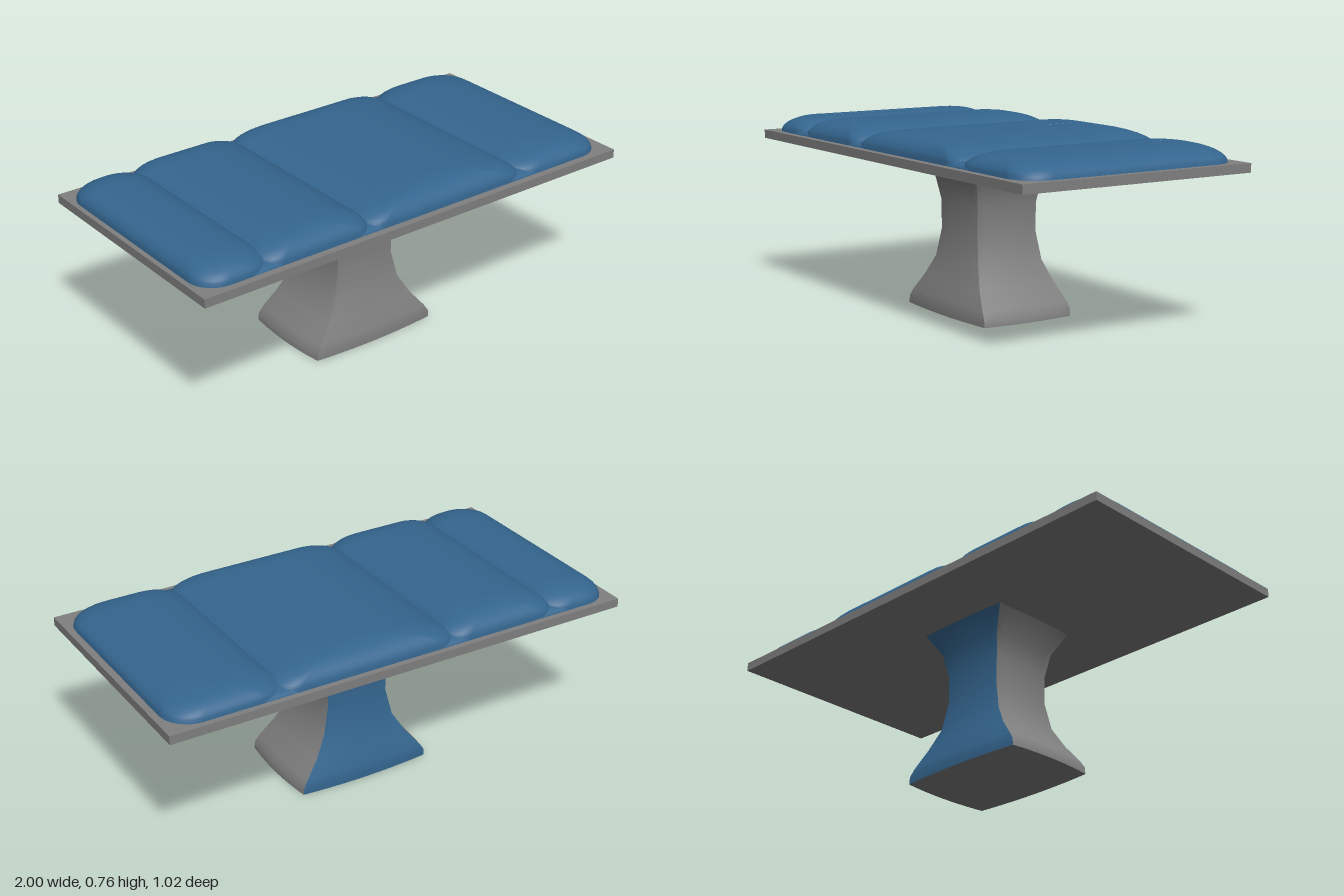
import * as THREE from 'three';

const grey = new THREE.MeshStandardMaterial({ color: 0x808080 });
grey.name = 'grey';
const blue = new THREE.MeshStandardMaterial({ color: 0x34658e });
blue.name = 'blue';

function add(group, name, geometry, material) {
  const mesh = new THREE.Mesh(geometry, material);
  mesh.name = name;
  group.add(mesh);
  return mesh;
}

// Skin a list of equally long point rows; closed joins each row's end to its start.
function loft(rows, closed) {
  const n = rows[0].length, index = [];
  for (let k = 0; k < rows.length - 1; k++) {
    for (let i = 0; i < (closed ? n : n - 1); i++) {
      const j = (i + 1) % n, a = k * n, b = a + n;
      index.push(a + i, a + j, b + j, a + i, b + j, b + i);
    }
  }
  const g = new THREE.BufferGeometry();
  g.setAttribute('position', new THREE.Float32BufferAttribute(rows.flat(2), 3));
  g.setIndex(index);
  g.computeVertexNormals();
  return g;
}

// Rounded rectangle, ordered counter-clockwise as seen from above.
function roundedRing(cx, y, cz, hx, hz, r) {
  const pts = [], steps = 8;
  [[1, 1], [1, -1], [-1, -1], [-1, 1]].forEach(([sx, sz], q) => {
    for (let i = 0; i <= steps; i++) {
      const a = Math.PI / 2 - (q + i / steps) * Math.PI / 2;
      pts.push([cx + sx * (hx - r) + r * Math.cos(a), y, cz + sz * (hz - r) + r * Math.sin(a)]);
    }
  });
  return pts;
}

// Domed pad: rings shrink to a ridge line running front to back.
function pad(x0, x1, height, radius) {
  const a = (x1 - x0) / 2, b = 0.485, edge = 0.17, rings = [];
  for (const t of [1, 0.985, 0.96, 0.92, 0.86, 0.78, 0.68, 0.56, 0.42, 0.28, 0.14, 0.002]) {
    const hx = a * t, hz = b - edge * (1 - t);
    rings.push(roundedRing((x0 + x1) / 2, 0.674 + height * Math.sqrt(1 - t ** 3), -0.003,
      hx, hz, Math.min(radius, hx * 0.98)));
  }
  // Rings run clockwise on screen, so flip them to face outward.
  return loft(orient(rings), true);
}

// Make sure ring order gives outward normals (right-handed about +y).
function orient(rings) {
  let area = 0;
  const r = rings[0];
  r.forEach((p, i) => {
    const q = r[(i + 1) % r.length];
    area += p[2] * q[0] - q[2] * p[0];
  });
  return area > 0 ? rings : rings.map((ring) => ring.slice().reverse());
}

// Pedestal section: height, corner x, corner z, bulge of each side.
const sections = [
  [0, 0.288, 0.205, 0.015], [0.03, 0.285, 0.205, 0.015], [0.06, 0.266, 0.2, 0.014],
  [0.13, 0.21, 0.178, 0.013], [0.215, 0.16, 0.152, 0.011], [0.33, 0.135, 0.139, 0.007],
  [0.45, 0.137, 0.139, 0.007], [0.55, 0.157, 0.157, 0.007], [0.642, 0.215, 0.2, 0.004],
];

// One edge of a section, side 0..3 = front, left, back, right.
function sideRow([y, x, z, bulge], side) {
  const corners = [[-x, z], [x, z], [x, -z], [-x, -z]];
  const outward = [[0, 1], [1, 0], [0, -1], [-1, 0]][side];
  const [p, q] = [corners[side], corners[(side + 1) % 4]];
  const row = [];
  for (let i = 0; i <= 10; i++) {
    const u = i / 10, d = bulge * 4 * u * (1 - u);
    row.push([p[0] + (q[0] - p[0]) * u + outward[0] * d, y, p[1] + (q[1] - p[1]) * u + outward[1] * d]);
  }
  return row;
}

export function createModel() {
  const model = new THREE.Group();
  model.name = 'paddedBench';

  // Board
  const board = add(model, 'board', new THREE.BoxGeometry(2, 0.036, 1.024), grey);
  board.position.y = 0.657;

  // Pedestal sides, the back one coloured
  const pedestal = new THREE.Group();
  pedestal.name = 'pedestal';
  model.add(pedestal);
  ['Front', 'Left', 'Back', 'Right'].forEach((name, side) => {
    add(pedestal, 'pedestal' + name, loft(sections.map((s) => sideRow(s, side)), false),
      name === 'Back' ? blue : grey);
  });

  // Pedestal underside
  const outline = [0, 1, 2, 3].flatMap((side) => sideRow(sections[0], side).slice(0, -1));
  const foot = new THREE.Shape(outline.map((p) => new THREE.Vector2(p[0], p[2])));
  add(pedestal, 'pedestalFoot', new THREE.ShapeGeometry(foot).rotateX(Math.PI / 2), grey);

  // Cushion: a low base with four domed pads
  const cushion = new THREE.Group();
  cushion.name = 'cushion';
  model.add(cushion);
  add(cushion, 'cushionBase', pad(-0.975, 0.967, 0.032, 0.12), blue);
  [
    [-0.98, -0.665, 0.071, 0.11],
    [-0.725, -0.205, 0.083, 0.09],
    [-0.258, 0.548, 0.086, 0.09],
    [0.488, 0.972, 0.071, 0.12],
  ].forEach(([x0, x1, h, r], i) => add(cushion, 'pad' + (i + 1), pad(x0, x1, h, r), blue));

  return model;
}
